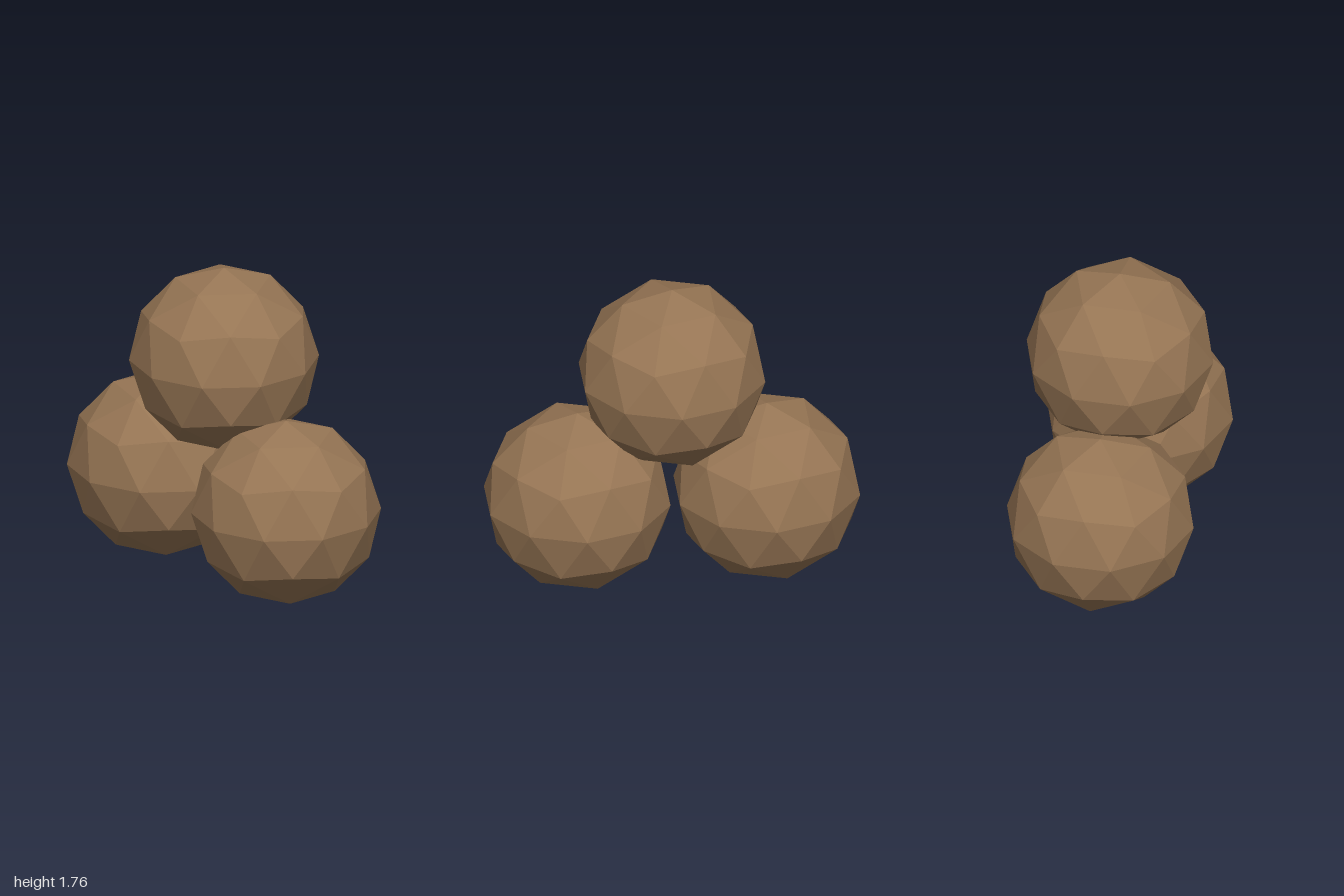
import * as THREE from 'three';

const R = 0.5125;

// Faceted ball: pole-up icosahedron split once, 80 flat faces
function ballGeometry() {
  const h = 1 / Math.sqrt(5), w = 2 / Math.sqrt(5);
  const verts = [0, 1, 0, 0, -1, 0];
  const faces = [];
  for (let k = 0; k < 5; k++) {
    const a = (k * 2 * Math.PI) / 5, b = a + Math.PI / 5;
    verts.push(w * Math.cos(a), h, -w * Math.sin(a));
    verts.push(w * Math.cos(b), -h, -w * Math.sin(b));
    const u = 2 + 2 * k, l = u + 1;
    const u2 = 2 + 2 * ((k + 1) % 5), l2 = u2 + 1;
    faces.push(0, u, u2, u, l, u2, u2, l, l2, 1, l2, l);
  }
  const geo = new THREE.PolyhedronGeometry(verts, faces, R, 1);
  geo.computeVertexNormals(); // unshared corners give flat facets
  return geo;
}

export function createModel() {
  const group = new THREE.Group();
  group.name = 'ballPile';
  const brown = new THREE.MeshStandardMaterial({ color: 0x967554 });
  brown.name = 'brown';
  const geo = ballGeometry();

  // Two balls side by side with a third resting on top
  const balls = [
    ['leftBall', R, R],
    ['rightBall', -R, R],
    ['topBall', 0, 1.247],
  ];
  for (const [name, x, y] of balls) {
    const ball = new THREE.Mesh(geo, brown);
    ball.name = name;
    ball.position.set(x, y, 0);
    group.add(ball);
  }
  return group;
}
